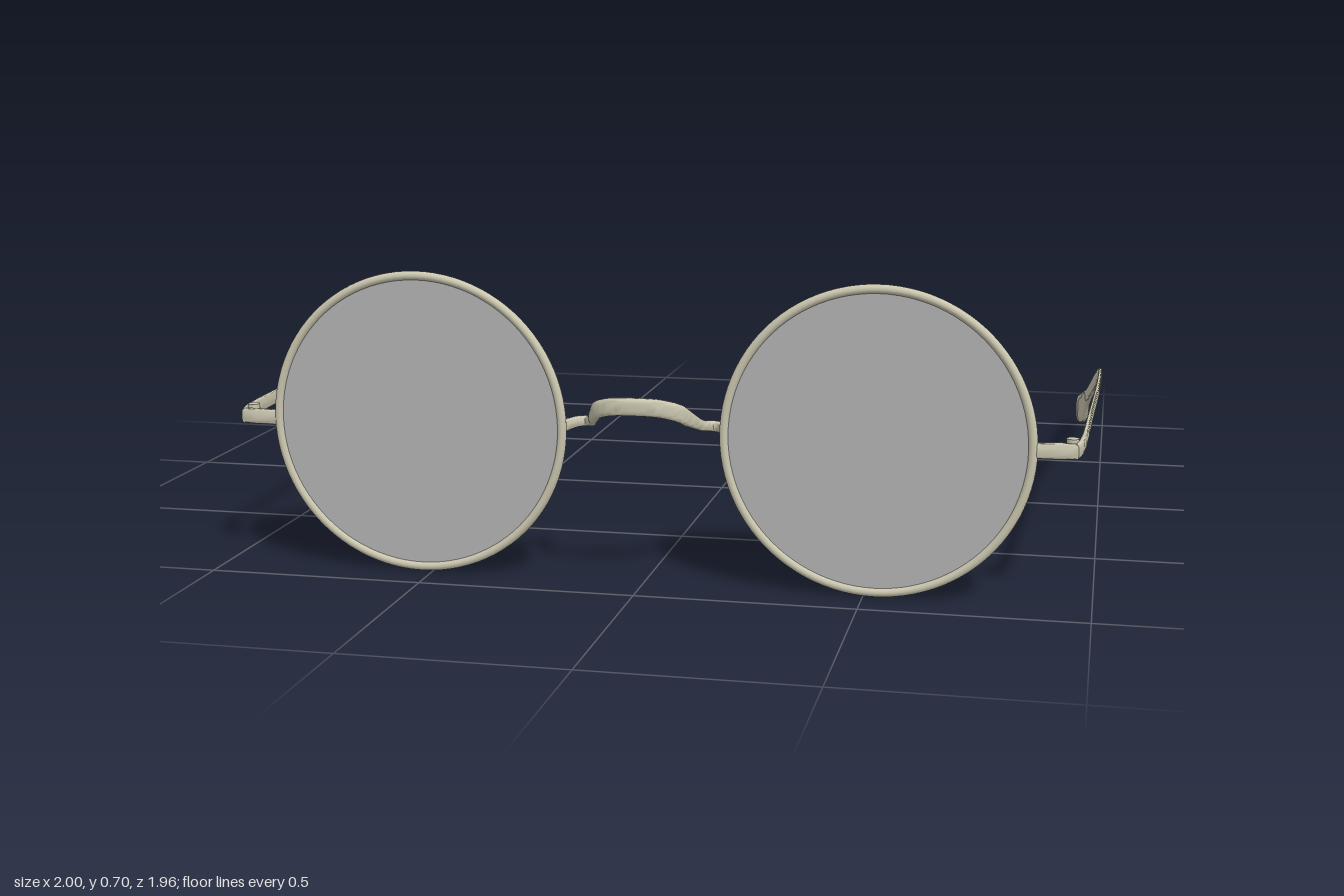
import * as THREE from 'three';
import { toCreasedNormals } from 'three/addons/utils/BufferGeometryUtils.js';

const V = (x, y, z) => new THREE.Vector3(x, y, z);

// Closed skin over rings that run counterclockwise about the sweep direction.
function loft(rings, crease = 0.7) {
  const n = rings[0].length, pos = [];
  const tri = (...p) => p.forEach((q) => pos.push(q.x, q.y, q.z));
  const mid = (r) => r.reduce((s, p) => s.add(p), V(0, 0, 0)).divideScalar(n);
  const last = rings[rings.length - 1];
  const c0 = mid(rings[0]), c1 = mid(last);
  for (let j = 0; j < n; j++) {
    const k = (j + 1) % n;
    for (let i = 0; i + 1 < rings.length; i++) {
      const a = rings[i], b = rings[i + 1];
      tri(a[j], a[k], b[j]);
      tri(a[k], b[k], b[j]);
    }
    tri(c0, rings[0][k], rings[0][j]);
    tri(c1, last[j], last[k]);
  }
  const g = new THREE.BufferGeometry();
  g.setAttribute('position', new THREE.Float32BufferAttribute(pos, 3));
  return toCreasedNormals(g, crease);
}

// Rounded-rectangle section spanned by the half axes u and v.
function section(c, u, v, power = 0.5, n = 16) {
  const soft = (t) => Math.sign(t) * Math.pow(Math.abs(t), power);
  return Array.from({ length: n }, (_, j) => {
    const a = ((j + 0.5) / n) * Math.PI * 2;
    return c.clone().addScaledVector(u, soft(Math.cos(a))).addScaledVector(v, soft(Math.sin(a)));
  });
}

const mirrorRings = (rings) => rings.map((r) => r.map((p) => V(-p.x, p.y, p.z)).reverse());

export function createModel() {
  const model = new THREE.Group();
  model.name = 'roundSpectacles';
  const metal = new THREE.MeshStandardMaterial({ color: 0xcbc7b0 });
  metal.name = 'pale metal';
  const glass = new THREE.MeshStandardMaterial({ color: 0xb2b2b2 });
  glass.name = 'grey glass';

  const add = (name, geometry, material, x = 0, y = 0, z = 0) => {
    const m = new THREE.Mesh(geometry, material);
    m.name = name;
    m.position.set(x, y, z);
    model.add(m);
  };

  // Temple arm stations: z, x, top, bottom, half thickness
  const stations = [
    [0.897, 0.955, 0.368, 0.336, 0.006], [0.85, 0.965, 0.37, 0.336, 0.006],
    [0.5, 0.98, 0.37, 0.337, 0.005], [0.2, 0.99, 0.365, 0.334, 0.005],
    [0, 0.993, 0.355, 0.324, 0.005], [-0.2, 0.993, 0.334, 0.302, 0.005],
    [-0.4, 0.988, 0.297, 0.261, 0.005], [-0.6, 0.977, 0.24, 0.197, 0.006],
    [-0.75, 0.964, 0.185, 0.138, 0.007], [-0.83, 0.955, 0.153, 0.1, 0.008],
    [-0.86, 0.948, 0.141, 0.05, 0.009], [-0.9, 0.939, 0.126, 0.035, 0.009],
    [-0.94, 0.931, 0.112, 0.03, 0.009], [-0.968, 0.927, 0.1, 0.036, 0.008],
    [-0.981, 0.925, 0.088, 0.048, 0.006],
  ];
  const path = new THREE.CatmullRomCurve3(stations.map(([z, x]) => V(x, 0, z)), false, 'centripetal');
  const edge = new THREE.CatmullRomCurve3(stations.map(([, , t, b, h]) => V(t, b, h)), false, 'centripetal');
  const armRings = [];
  const steps = (stations.length - 1) * 4;
  for (let i = steps; i >= 0; i--) {
    const p = path.getPoint(i / steps), e = edge.getPoint(i / steps);
    p.y = (e.x + e.y) / 2;
    armRings.push(section(p, V(e.z, 0, 0), V(0, (e.x - e.y) / 2, 0)));
  }

  // End piece joining the rim to the temple arm, swept along +x
  const endRings = [
    [0.866, 0.9, 0.017, 0.009], [0.925, 0.896, 0.018, 0.008],
    [0.95, 0.893, 0.017, 0.007], [0.959, 0.892, 0.015, 0.005],
  ].map(([x, z, hy, hz]) => section(V(x, 0.353, z), V(0, hy, 0), V(0, 0, hz)));

  for (const s of [1, -1]) {
    const side = s > 0 ? 'left' : 'right';
    const sided = (rings) => loft(s > 0 ? rings : mirrorRings(rings));

    add(side + 'Rim', new THREE.TorusGeometry(0.339, 0.0105, 12, 96), metal, s * 0.525, 0.355, 0.902);
    const lens = new THREE.CylinderGeometry(0.335, 0.335, 0.006, 96).rotateX(Math.PI / 2);
    add(side + 'Lens', lens, glass, s * 0.525, 0.355, 0.902);
    add(side + 'Temple', sided(armRings), metal);
    add(side + 'EndPiece', sided(endRings), metal);

    // Hinge barrel with its leaf
    add(side + 'Hinge', new THREE.CylinderGeometry(0.014, 0.014, 0.042, 20), metal, s * 0.947, 0.353, 0.86);
    add(side + 'HingeLeaf', new THREE.BoxGeometry(0.012, 0.026, 0.03), metal, s * 0.954, 0.353, 0.876);
  }

  // Bridge: a flat wire that loops back, then arches up and forward
  const half = [
    [0.19, 0.36, 0.905], [0.178, 0.36, 0.865], [0.163, 0.36, 0.835], [0.145, 0.361, 0.832],
    [0.127, 0.368, 0.862], [0.11, 0.39, 0.91], [0.09, 0.412, 0.945], [0.055, 0.424, 0.965],
  ];
  const bridgePath = new THREE.CatmullRomCurve3([
    ...half.map(([x, y, z]) => V(-x, y, z)), V(0, 0.427, 0.971),
    ...half.map(([x, y, z]) => V(x, y, z)).reverse(),
  ]);
  const bridgeRings = [];
  for (let i = 0; i <= 80; i++) {
    const c = bridgePath.getPointAt(i / 80), t = bridgePath.getTangentAt(i / 80);
    const u = V(0, 1, 0).cross(t).normalize();
    const v = t.clone().cross(u);
    const height = 0.012 + 0.008 * THREE.MathUtils.smoothstep(c.z, 0.85, 0.96);
    bridgeRings.push(section(c, u.multiplyScalar(0.01), v.multiplyScalar(height), 0.6));
  }
  add('bridge', loft(bridgeRings), metal);

  return model;
}
